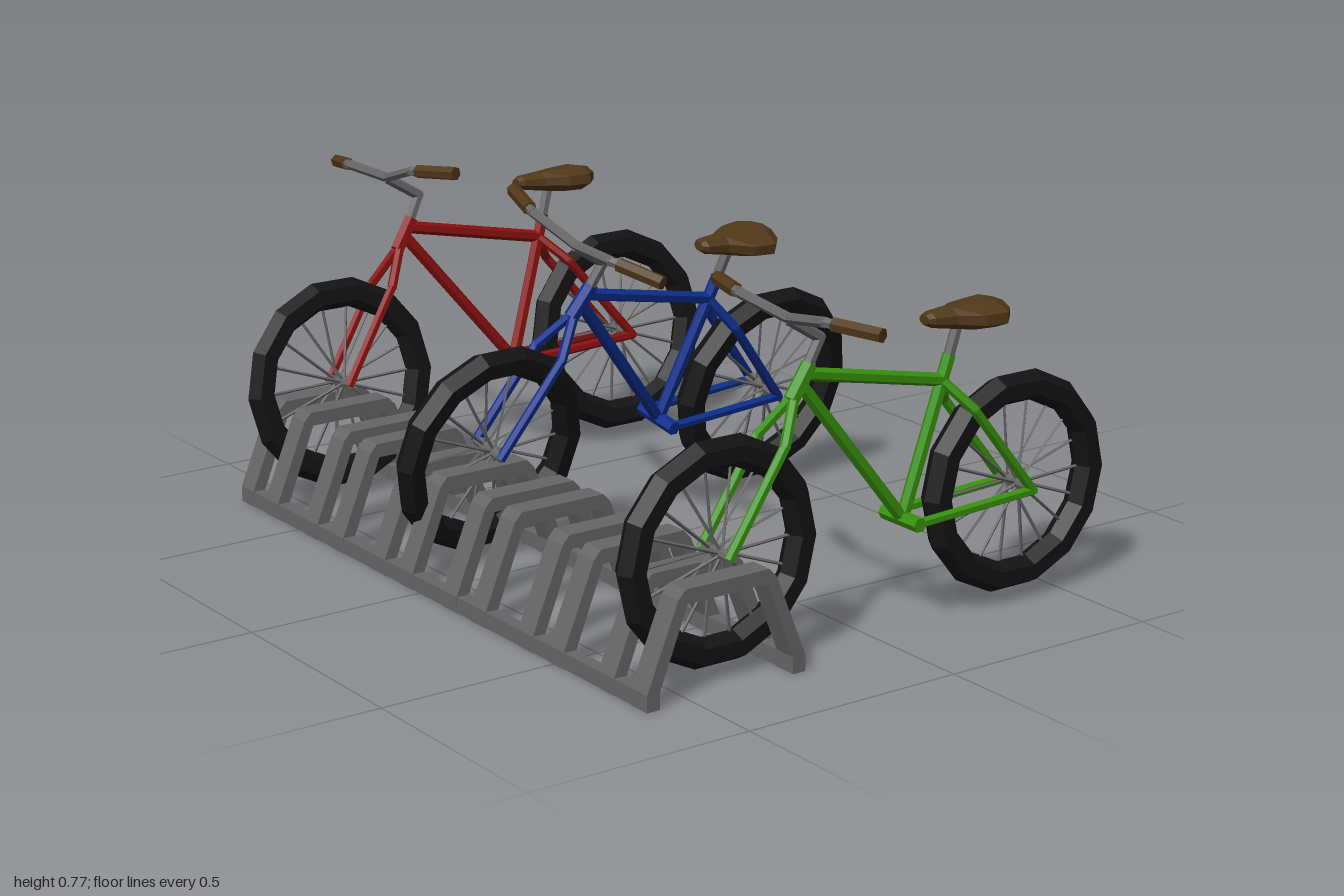
import * as THREE from 'three';

const mat = (color) => new THREE.MeshStandardMaterial({ color, flatShading: true, side: THREE.DoubleSide });
const steel = mat(0x666666), rubber = mat(0x131313), leather = mat(0x513819);
const V = (x, y, z) => new THREE.Vector3(x, y, z);

function add(group, name, geometry, material) {
  const mesh = new THREE.Mesh(geometry, material);
  mesh.name = name;
  group.add(mesh);
  return mesh;
}

// straight tube between two points
function rod(group, name, a, b, radius, material, sides = 6) {
  const dir = b.clone().sub(a);
  const mesh = add(group, name, new THREE.CylinderGeometry(radius, radius, dir.length(), sides), material);
  mesh.position.copy(a).add(b).multiplyScalar(0.5);
  mesh.quaternion.setFromUnitVectors(V(0, 1, 0), dir.normalize());
  return mesh;
}

// chain of tubes, each slightly overlapping the next at the bend
function rods(group, name, points, radius, material) {
  for (let i = 0; i < points.length - 1; i++) {
    const d = points[i + 1].clone().sub(points[i]).setLength(radius * 0.4);
    rod(group, name, points[i].clone().sub(d), points[i + 1].clone().add(d), radius, material);
  }
}

// wheel in the y-z plane: tyre, hub and spokes
function wheel(name) {
  const g = new THREE.Group();
  g.name = name;
  add(g, 'tyre', new THREE.TorusGeometry(0.204, 0.033, 6, 14).rotateY(Math.PI / 2), rubber);
  rod(g, 'hub', V(-0.045, 0, 0), V(0.045, 0, 0), 0.012, steel, 8);
  const n = 18;
  for (let i = 0; i < n; i++) {
    const a = (i + 0.5) / n * Math.PI * 2, side = i % 2 ? 0.015 : -0.015;
    rod(g, 'spoke', V(side, Math.cos(a) * 0.008, Math.sin(a) * 0.008),
      V(0, Math.cos(a) * 0.18, Math.sin(a) * 0.18), 0.0035, steel, 4);
  }
  return g;
}

// saddle lofted from cross-sections: z, half width, top, bottom
function saddleGeometry() {
  const sections = [
    [-0.128, 0.014, 0.646, 0.627], [-0.14, 0.022, 0.651, 0.62], [-0.19, 0.03, 0.654, 0.611],
    [-0.24, 0.06, 0.656, 0.604], [-0.29, 0.067, 0.658, 0.602], [-0.318, 0.04, 0.652, 0.612]];
  const n = 8, pos = [];
  const rings = sections.map(([z, w, top, bottom]) => Array.from({ length: n }, (_, j) => {
    const a = (j + 0.5) / n * Math.PI * 2;
    return V(Math.cos(a) * w * 1.08, (top + bottom) / 2 + Math.sin(a) * (top - bottom) / 2 * 1.08, z);
  }));
  const tri = (...p) => p.forEach((v) => pos.push(v.x, v.y, v.z));
  const first = rings[0], last = rings[rings.length - 1];
  for (let j = 0; j < n; j++) {
    const k = (j + 1) % n;
    for (let i = 0; i < rings.length - 1; i++) {
      const r = rings[i], s = rings[i + 1];
      tri(r[j], s[j], r[k]);
      tri(r[k], s[j], s[k]);
    }
    if (j > 0 && j < n - 1) {
      tri(first[0], first[j], first[k]);
      tri(last[0], last[k], last[j]);
    }
  }
  const geo = new THREE.BufferGeometry();
  geo.setAttribute('position', new THREE.Float32BufferAttribute(pos, 3));
  geo.computeVertexNormals();
  return geo;
}

function bicycle(name, color) {
  const inner = new THREE.Group(), paint = mat(color), r = 0.014;
  const head = V(0, 0.58, 0.17), crown = V(0, 0.53, 0.203);
  const bracket = V(0, 0.232, -0.082), seatJoint = V(0, 0.505, -0.178);

  for (const [part, z] of [['frontWheel', 0.38], ['rearWheel', -0.375]]) {
    const w = wheel(part);
    w.position.set(0, 0.255, z);
    inner.add(w);
  }

  // main frame
  rod(inner, 'headTube', V(0, 0.595, 0.16), crown, 0.017, paint);
  rod(inner, 'topTube', V(0, 0.577, 0.172), seatJoint, r, paint);
  rod(inner, 'downTube', V(0, 0.56, 0.183), bracket, r, paint);
  rod(inner, 'seatTube', bracket, V(0, 0.555, -0.195), r, paint);
  rod(inner, 'bottomBracket', V(-0.057, 0.232, -0.082), V(0.057, 0.232, -0.082), 0.016, paint);

  // fork, seat stays and chain stays on both sides of the wheels
  for (const s of [-1, 1]) {
    rods(inner, 'forkBlade', [V(s * 0.008, 0.525, 0.205), V(s * 0.045, 0.455, 0.252), V(s * 0.045, 0.255, 0.383)], 0.011, paint);
    rods(inner, 'seatStay', [V(s * 0.008, 0.5, -0.178), V(s * 0.047, 0.445, -0.225), V(s * 0.047, 0.245, -0.387)], 0.011, paint);
    rod(inner, 'chainStay', V(s * 0.047, 0.232, -0.082), V(s * 0.047, 0.245, -0.392), 0.011, paint);
  }

  // seat post and saddle
  rod(inner, 'seatPost', V(0, 0.54, -0.19), V(0, 0.625, -0.218), 0.012, steel);
  add(inner, 'saddle', saddleGeometry(), leather);

  // stem, handlebar and grips
  rods(inner, 'stem', [head, V(0, 0.645, 0.135), V(0, 0.692, 0.21)], 0.012, steel);
  for (const s of [-1, 1]) {
    const bend = V(s * 0.135, 0.72, 0.23), end = V(s * 0.258, 0.716, 0.19);
    rods(inner, 'handlebar', [V(0, 0.695, 0.212), bend, bend.clone().lerp(end, 0.3)], 0.011, steel);
    rod(inner, 'grip', bend.clone().lerp(end, 0.15), end, 0.0155, leather);
  }

  // pivot at axle height
  inner.position.y = -0.255;
  const g = new THREE.Group();
  g.name = name;
  g.add(inner);
  return g;
}

function rack() {
  const g = new THREE.Group();
  g.name = 'rack';
  // arch outline drawn in the z-y plane around z = 0.415
  const half = [[0.19, 0], [0.19, 0.035], [0.117, 0.212], [0.1, 0.23]];
  const innerHalf = [[0.095, 0.2], [0.16, 0.035], [0.16, 0]];
  const right = [...half, ...innerHalf];
  const outer = [...half, ...half.map(([z, y]) => [-z, y]).reverse()];
  const inside = [...innerHalf.map(([z, y]) => [-z, y]).reverse(), ...right.slice(4)];
  const shape = new THREE.Shape([...outer, ...inside].map(([z, y]) => new THREE.Vector2(z, y)));
  const width = 0.053;
  const arch = new THREE.ExtrudeGeometry(shape, { depth: width, bevelEnabled: false })
    .translate(0, 0, -width / 2).rotateY(-Math.PI / 2);
  for (let i = 0; i < 6; i++) {
    for (const s of [-1, 1]) {
      add(g, 'arch', arch, steel).position.set(-0.664 + i * 0.28 + s * 0.0545, 0, 0.415);
    }
  }
  // ground rails
  for (const z of [0.24, 0.59]) {
    add(g, 'groundRail', new THREE.BoxGeometry(1.56, 0.034, 0.029), steel).position.set(0.036, 0.018, z);
  }
  return g;
}

export function createModel() {
  const model = new THREE.Group();
  model.name = 'bicycleRack';
  model.add(rack());
  // name, colour, x, yaw, lean
  for (const [name, color, x, yaw, lean] of [
    ['redBicycle', 0x8c1010, -0.68, 0, 0.13],
    ['blueBicycle', 0x0c2f90, -0.092, 0.06, -0.2],
    ['greenBicycle', 0x38920c, 0.735, 0, 0]]) {
    const b = bicycle(name, color);
    b.position.set(x, 0.255, 0);
    b.rotation.set(0, yaw, lean, 'YXZ');
    model.add(b);
  }
  return model;
}
